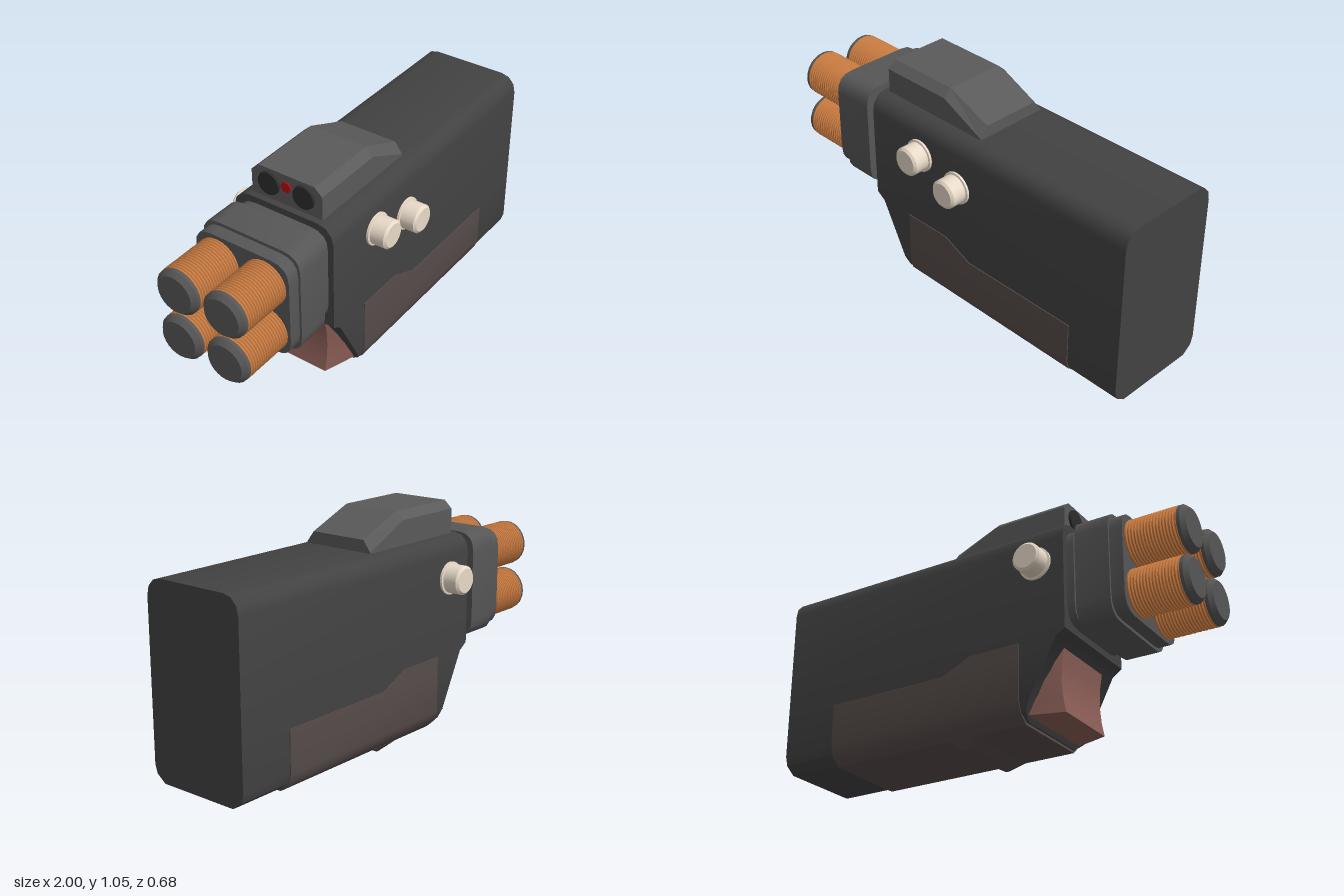
import * as THREE from 'three';
import { toCreasedNormals } from 'three/addons/utils/BufferGeometryUtils.js';

const mat = (color) => new THREE.MeshStandardMaterial({ color });
const dark = mat(0x424242), steel = mat(0x565656), sightGrey = mat(0x5a5a5a), black = mat(0x2c2c2c);
const copper = mat(0xc87a40), panelBrown = mat(0x564c4a), rust = mat(0x8c5f57), cream = mat(0xe8dac8), red = mat(0xb01010);

// Skin a list of equal-length closed rings and cap both ends
function loft(rings, crease = 0.6) {
  const pos = [], n = rings[0].length;
  const tri = (a, b, c) => pos.push(...a, ...b, ...c);
  for (let i = 0; i < rings.length - 1; i++) {
    for (let j = 0; j < n; j++) {
      const k = (j + 1) % n, r = rings[i], s = rings[i + 1];
      tri(r[j], r[k], s[k]);
      tri(r[j], s[k], s[j]);
    }
  }
  const lo = rings[0], hi = rings[rings.length - 1];
  for (let j = 1; j < n - 1; j++) {
    tri(lo[0], lo[j + 1], lo[j]);
    tri(hi[0], hi[j], hi[j + 1]);
  }
  const g = new THREE.BufferGeometry();
  g.setAttribute('position', new THREE.Float32BufferAttribute(pos, 3));
  return toCreasedNormals(g, crease);
}

// Rectangle at height y from x0 to x1, with half widths h0 and h1 at its ends
const row = ([y, x0, x1, h0, h1 = h0]) => [[x1, y, h1], [x1, y, -h1], [x0, y, -h0], [x0, y, h0]];

// Rounded rectangle in the z/y plane, extruded along x
function collar(x0, x1, y0, y1, h, r) {
  const s = new THREE.Shape();
  const b = (y1 - y0) / 2, a = h;
  s.moveTo(-a + r, -b);
  s.lineTo(a - r, -b); s.quadraticCurveTo(a, -b, a, -b + r);
  s.lineTo(a, b - r); s.quadraticCurveTo(a, b, a - r, b);
  s.lineTo(-a + r, b); s.quadraticCurveTo(-a, b, -a, b - r);
  s.lineTo(-a, -b + r); s.quadraticCurveTo(-a, -b, -a + r, -b);
  const g = new THREE.ExtrudeGeometry(s, { depth: x1 - x0, bevelEnabled: false, curveSegments: 4 });
  g.rotateY(Math.PI / 2).translate(x0, (y0 + y1) / 2, 0);
  return toCreasedNormals(g, 0.6);
}

// Lathe from [radius, height] pairs
const turned = (pts, segs) =>
  toCreasedNormals(new THREE.LatheGeometry(pts.map((p) => new THREE.Vector2(...p)), segs), 0.5);

export function createModel() {
  const model = new THREE.Group();
  const add = (name, geometry, material, parent = model) => {
    const m = new THREE.Mesh(geometry, material);
    m.name = name;
    parent.add(m);
    return m;
  };

  // Body with rounded long edges and a slanted lower nose
  const nose = (y) => (y >= 0.4 ? -0.46 : -0.25 - (y - 0.05) * 0.516);
  const profile = [[0.047, 0.195], [0.08, 0.24], [0.12, 0.252], [0.37, 0.252], [0.4, 0.252],
    [0.83, 0.252], [0.87, 0.243], [0.9, 0.215], [0.91, 0.175]];
  add('body', loft(profile.map(([y, h]) => row([y, nose(y), 1, h]))), dark);

  // Grip panel wrapping the underside, with a stepped upper edge
  add('gripPanel', loft([
    [0.036, -0.24, 0.735, 0.198], [0.077, -0.24, 0.735, 0.244], [0.12, -0.24, 0.735, 0.256],
    [0.315, -0.24, 0.735, 0.256], [0.315, -0.24, 0.145, 0.256], [0.38, -0.24, 0, 0.256],
  ].map(row)), panelBrown);
  add('gripRidge', loft([[0, 0.068, 0.082, 0.165], [0.04, 0, 0.15, 0.205]].map(row)), panelBrown);

  // Trigger with a concave front, narrower than the slanted nose behind it
  add('trigger', loft([
    [0.068, -0.41, -0.24, 0.165, 0.22], [0.13, -0.398, -0.27, 0.165, 0.22], [0.21, -0.391, -0.31, 0.165, 0.22],
    [0.29, -0.396, -0.35, 0.165, 0.21], [0.385, -0.412, -0.39, 0.165, 0.18],
  ].map(row)), rust);

  // Stepped neck
  const neck = new THREE.Group();
  neck.name = 'neck';
  model.add(neck);
  [[-0.495, -0.455, 0.43, 0.88, 0.225], [-0.515, -0.49, 0.445, 0.865, 0.208],
    [-0.67, -0.512, 0.405, 0.9, 0.245], [-0.73, -0.668, 0.42, 0.885, 0.235],
  ].forEach(([x0, x1, y0, y1, h]) => add('neckCollar', collar(x0, x1, y0, y1, h, 0.085), steel, neck));

  // Four barrels: dark cores with ribbed copper coils
  const core = turned([[0, 0], [0.098, 0], [0.098, 0.235], [0.104, 0.235], [0.104, 0.25], [0.085, 0.27], [0, 0.27]], 24);
  const ribs = 17, step = 0.238 / ribs, coilPts = [];
  for (let i = 0; i < ribs; i++) {
    coilPts.push([0.099, i * step], [0.106, (i + 0.3) * step], [0.106, (i + 0.7) * step]);
  }
  coilPts.push([0.099, 0.238]);
  const coil = turned(coilPts, 24);
  for (const y of [0.535, 0.767]) {
    for (const z of [-0.118, 0.118]) {
      const barrel = new THREE.Group();
      barrel.name = 'barrel';
      add('barrelCore', core, steel, barrel);
      add('barrelCoil', coil, copper, barrel);
      barrel.position.set(-0.73, y, z);
      barrel.rotation.z = Math.PI / 2;
      model.add(barrel);
    }
  }

  // Sight housing with chamfered top edges and a sloping tail
  add('sightHousing', loft([[-0.43, 1.02, 1.055], [-0.075, 1.02, 1.055], [0.145, 0.915, 0.965]].map(
    ([x, side, top]) => [[x, 0.905, -0.178], [x, side, -0.178], [x, top, -0.14],
      [x, top, 0.14], [x, side, 0.178], [x, 0.905, 0.178]]), 0.1), sightGrey);
  for (const z of [-0.088, 0.088]) {
    const lens = add('sightLens', new THREE.CylinderGeometry(0.052, 0.055, 0.014, 20), black);
    lens.position.set(-0.433, 0.985, z);
    lens.rotation.z = Math.PI / 2;
  }
  const lamp = add('sightLamp', new THREE.CylinderGeometry(0.026, 0.026, 0.012, 6), red);
  lamp.position.set(-0.432, 1.0, 0);
  lamp.rotation.z = Math.PI / 2;

  // Side buttons: two on the front face, one on the back
  const button = turned([[0.075, 0], [0.075, 0.012], [0.066, 0.014], [0.066, 0.08], [0.055, 0.09], [0, 0.09]], 24);
  for (const [x, y, side] of [[-0.155, 0.735, 1], [0.075, 0.677, 1], [-0.325, 0.73, -1]]) {
    const b = add('button', button, cream);
    b.position.set(x, y, side * 0.25);
    b.rotation.x = side * Math.PI / 2;
  }
  return model;
}
